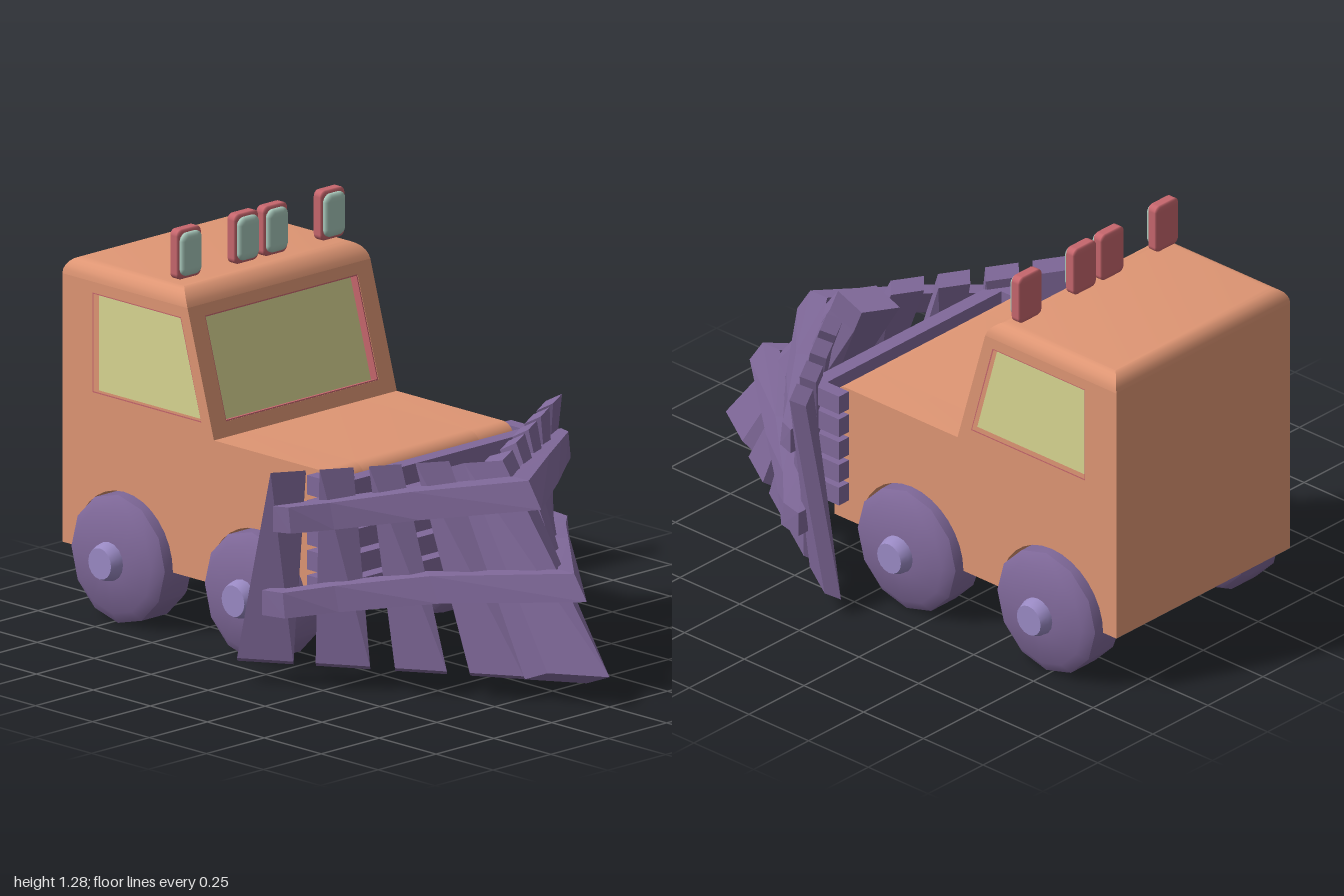
import * as THREE from 'three';
import { toCreasedNormals } from 'three/addons/utils/BufferGeometryUtils.js';
import { ConvexGeometry } from 'three/addons/geometries/ConvexGeometry.js';
import { RoundedBoxGeometry } from 'three/addons/geometries/RoundedBoxGeometry.js';

const material = (name, color) => {
  const m = new THREE.MeshStandardMaterial({ color });
  m.name = name;
  return m;
};

export function createModel() {
  const orange = material('orange paint', 0xdf9674);
  const red = material('red trim', 0xc6666d);
  const yellow = material('yellow glass', 0xd9d692);
  const purple = material('purple metal', 0x80699a);
  const lilac = material('lilac hub', 0x9a8ac4);
  const mint = material('mint lens', 0xa6c6b9);

  const model = new THREE.Group();
  model.name = 'plowTruck';
  const add = (name, geometry, mat, parent = model) => {
    const mesh = new THREE.Mesh(geometry, mat);
    mesh.name = name;
    parent.add(mesh);
    return mesh;
  };
  const group = (name) => {
    const g = new THREE.Group();
    g.name = name;
    model.add(g);
    return g;
  };
  const hull = (points) => new ConvexGeometry(points.map((p) => new THREE.Vector3(...p)));
  const vectors = (points) => points.map(([a, b]) => new THREE.Vector2(a, b));

  // Flat outline with an optional hole, extruded from d0 to d1
  const extrude = (points, d0, d1, hole) => {
    const shape = new THREE.Shape(vectors(points));
    if (hole) shape.holes.push(new THREE.Path(vectors(hole)));
    const g = new THREE.ExtrudeGeometry(shape, { depth: d1 - d0, bevelEnabled: false });
    return toCreasedNormals(g.translate(0, 0, d0), 0.5);
  };
  // The same for a [z, y] outline, extruded across x
  const flip = (points) => points.map(([z, y]) => [-z, y]);
  const extrudeSide = (points, x0, x1, hole) =>
    extrude(flip(points), x0, x1, hole && flip(hole)).rotateY(Math.PI / 2);
  // Outline drawn in towards its middle, for window linings
  const shrink = (points, by) => {
    const cx = points.reduce((s, p) => s + p[0], 0) / points.length;
    const cy = points.reduce((s, p) => s + p[1], 0) / points.length;
    return points.map(([a, b]) => [a - Math.sign(a - cx) * by, b - Math.sign(b - cy) * by]);
  };

  // Lower body: solid core and outer layers with wheel arches
  const W = 0.395;
  const axles = [-0.73, -0.145];
  const hoodTop = [];
  for (let i = 0; i <= 6; i++) {
    const a = (i / 6) * Math.PI / 2;
    hoodTop.push([0.13 + 0.05 * Math.cos(a), 0.61 + 0.05 * Math.sin(a)]);
  }
  const arches = axles.flatMap((z) => Array.from({ length: 17 }, (_, i) => {
    const a = Math.PI * (1 - i / 16);
    return [z + 0.215 * Math.cos(a), 0.2 + 0.215 * Math.sin(a)];
  }));
  const outline = (floor) => [[-1, 0.2], ...floor, [0.18, 0.2], ...hoodTop, [-1, 0.66]];
  const body = group('body');
  add('bodyCore', extrudeSide(outline([]), -0.25, 0.25), orange, body);
  add('leftArches', extrudeSide(outline(arches), 0.25, W), orange, body);
  add('rightArches', extrudeSide(outline(arches), -W, -0.25), orange, body);

  // Cab core and sides with recessed windows
  const cab = group('cab');
  const inner = 0.36;
  add('cabCore', extrudeSide([[-1, 0.66], [-0.371, 0.66], [-0.487, 1.06], [-1, 1.06]], -inner, inner), orange, cab);
  const wall = [[-1, 0.66], [-0.335, 0.66], [-0.451, 1.06], [-1, 1.06]];
  const window = [[-0.87, 0.705], [-0.39, 0.705], [-0.48, 1.025], [-0.87, 1.025]];
  for (const s of [-1, 1]) {
    const layer = (name, points, a, b, mat, hole) =>
      add(name, extrudeSide(points, Math.min(s * a, s * b), Math.max(s * a, s * b), hole), mat, cab);
    layer('sideWall', wall, inner, W, orange, window);
    layer('sideWindowLining', window, inner, W - 0.002, red, shrink(window, 0.004));
    layer('sideGlass', window, inner, inner + 0.005, yellow);
  }

  // Sloped windshield
  const lean = Math.atan2(0.116, 0.4);
  const rect = (x, y0, y1) => [[-x, y0], [x, y0], [x, y1], [-x, y1]];
  const pane = rect(0.33, 0.047, 0.38);
  const screen = new THREE.Group();
  screen.name = 'windshield';
  screen.position.set(0, 0.66, -0.335);
  screen.rotation.x = -lean;
  cab.add(screen);
  add('windshieldFrame', extrude(rect(inner, 0, 0.4165), -0.035, 0, pane), orange, screen);
  add('windshieldLining', extrude(pane, -0.035, -0.002, shrink(pane, 0.004)), red, screen);
  add('windshieldGlass', extrude(pane, -0.035, -0.03), yellow, screen);

  // Roof with rounded edges
  const roof = [];
  for (let i = 0; i <= 6; i++) {
    const a = (i / 6) * Math.PI / 2;
    const inset = 0.05 * (1 - Math.cos(a));
    const y = 1.06 + 0.055 * Math.sin(a);
    for (const s of [-1, 1]) {
      roof.push([s * (W - inset), y, -1 + inset]);
      roof.push([s * (W - inset), y, -0.451 - 0.29 * (y - 1.06) - inset]);
    }
  }
  add('roof', toCreasedNormals(hull(roof), 0.5), orange, cab);

  // Roof lamps
  const lamps = group('roofLamps');
  for (const x of [-0.31, -0.0625, 0.0625, 0.31]) {
    const housing = new RoundedBoxGeometry(0.105, 0.16, 0.105, 3, 0.02).scale(1, 1, 0.04 / 0.105);
    add('lampHousing', housing, red, lamps).position.set(x, 1.205, -0.546);
    const lens = new RoundedBoxGeometry(0.088, 0.138, 0.08, 4, 0.025).scale(1, 1, 0.5);
    add('lampLens', lens, mint, lamps).position.set(x, 1.205, -0.53);
  }

  // Wheels and hubs
  const tyreProfile = [[0, 0.26], [0.14, 0.26], [0.19, 0.285], [0.205, 0.31], [0.205, 0.42], [0.17, 0.445], [0.06, 0.46], [0, 0.46]];
  const hubProfile = [[0.064, 0.44], [0.06, 0.475], [0.05, 0.5], [0, 0.5]];
  const lathe = (profile, sides) =>
    toCreasedNormals(new THREE.LatheGeometry(vectors(profile), sides).rotateZ(-Math.PI / 2), 0.6);
  const wheels = group('wheels');
  for (const z of axles) {
    for (const s of [-1, 1]) {
      const wheel = new THREE.Group();
      wheel.name = 'wheel';
      wheel.position.set(0, 0.205, z);
      wheel.rotation.y = s > 0 ? 0 : Math.PI;
      add('tyre', lathe(tyreProfile, 12), purple, wheel);
      add('hub', lathe(hubProfile, 16), lilac, wheel);
      wheels.add(wheel);
    }
  }

  // Plow planks: foot and top follow two different V lines
  const plow = group('plow');
  const planks = [[0, 0.105], [0.145, 0.236], [0.275, 0.363], [0.405, 0.497], [0.535, 0.63]];
  planks.forEach(([xa, xb], i) => {
    const [dx, dy, dz] = i === 0 ? [0, -0.04, -0.1] : [-0.036, -0.023, -0.035];
    for (const s of [-1, 1]) {
      const points = [];
      for (const x of [xa, xb]) {
        const foot = [x, i === 0 ? 0.095 : 0.08, 1 - 1.58 * x];
        const top = [x, i === 0 ? 0.693 : 0.703, 0.53 - 0.6 * x];
        for (const [px, py, pz] of [foot, top]) {
          points.push([s * px, py, pz], [s * (px + dx), py + dy, pz + dz]);
        }
      }
      add('plank', hull(points), purple, plow);
    }
  });

  // Two bands wrapped round the planks: x, bottom y, z, inward offset x and z, lean
  const bands = [
    { height: 0.08, path: [
      [0, 0.315, 0.9, 0, -0.07, 0.055], [0.3, 0.3, 0.555, -0.03, -0.05, 0.04],
      [0.5, 0.265, 0.32, -0.035, -0.04, 0.02], [0.615, 0.243, 0.2, -0.045, -0.03, 0.01],
      [0.63, 0.24, 0.115, -0.045, 0, 0]] },
    { height: 0.082, path: [
      [0, 0.57, 0.7, 0, -0.07, 0.055], [0.3, 0.55, 0.47, -0.03, -0.05, 0.04],
      [0.5, 0.525, 0.3, -0.035, -0.04, 0.02], [0.605, 0.516, 0.215, -0.045, -0.03, 0.01],
      [0.622, 0.513, 0.155, -0.045, 0, 0]] },
  ];
  for (const { height, path } of bands) {
    for (const s of [-1, 1]) {
      const sections = path.map(([x, y, z, dx, dz, tilt]) => [
        [s * x, y, z], [s * x, y + height, z - tilt],
        [s * (x + dx), y, z + dz], [s * (x + dx), y + height, z - tilt + dz]]);
      for (let i = 1; i < sections.length; i++) {
        add('band', hull([...sections[i - 1], ...sections[i]]), purple, plow);
      }
    }
  }

  // Stacked bars behind the planks, with short arms along the body
  const grille = group('grille');
  for (let i = 0; i < 5; i++) {
    const y = 0.3 + i * 0.08;
    add('bar', new THREE.BoxGeometry(0.88, 0.062, 0.05), purple, grille).position.set(0, y, 0.235);
    for (const s of [-1, 1]) {
      add('barArm', new THREE.BoxGeometry(0.045, 0.062, 0.09), purple, grille).position.set(s * 0.4175, y, 0.165);
    }
  }
  return model;
}
